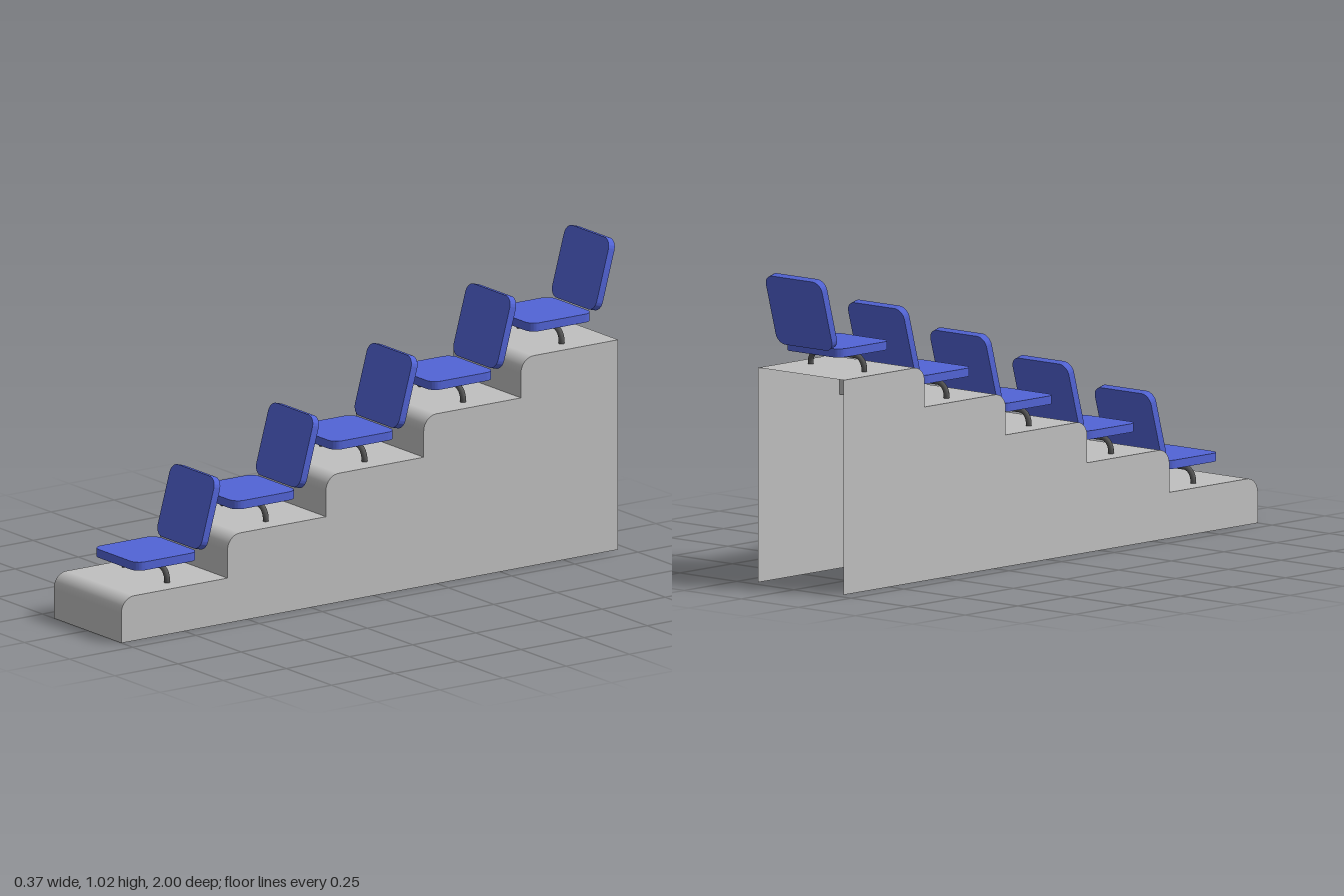
import * as THREE from 'three';
import { toCreasedNormals } from 'three/addons/utils/BufferGeometryUtils.js';

const W = 0.187;                                    // half width of the stand
const FRONTS = [1, 0.58, 0.19, -0.197, -0.582, -0.967]; // riser positions, then the back
const TOPS = [0.15, 0.293, 0.43, 0.567, 0.7];       // tread heights
const R = 0.05;                                     // rounded nosing

function material(name, color, side = THREE.FrontSide) {
  const m = new THREE.MeshStandardMaterial({ color, side });
  m.name = name;
  return m;
}

function mesh(name, geometry, mat) {
  const m = new THREE.Mesh(geometry, mat);
  m.name = name;
  return m;
}

// Side profile of the stand as rows of [z, y, normalZ, normalY]
function stepProfile() {
  const rows = [];
  TOPS.forEach((top, i) => {
    const z = FRONTS[i];
    rows.push([z, i ? TOPS[i - 1] : 0, 1, 0]);
    for (let k = 0; k <= 10; k++) {
      const a = (k / 10) * Math.PI / 2;
      const c = Math.cos(a), s = Math.sin(a);
      rows.push([z - R + R * c, top - R + R * s, c, s]);
    }
    rows.push([FRONTS[i + 1], top, 0, 1]);
  });
  return rows;
}

// Risers and treads: the profile stretched across the width
function treadGeometry(rows) {
  const pos = [], nor = [], idx = [];
  rows.forEach(([z, y, nz, ny], i) => {
    pos.push(-W, y, z, W, y, z);
    nor.push(0, ny, nz, 0, ny, nz);
    if (i < rows.length - 1) {
      const a = i * 2;
      idx.push(a, a + 1, a + 3, a, a + 3, a + 2);
    }
  });
  const g = new THREE.BufferGeometry();
  g.setAttribute('position', new THREE.Float32BufferAttribute(pos, 3));
  g.setAttribute('normal', new THREE.Float32BufferAttribute(nor, 3));
  g.setIndex(idx);
  return g;
}

// Upright slab with rounded corners, centred on the origin
function slabGeometry(w, h, depth, r) {
  const x = w / 2, y = h / 2, s = new THREE.Shape();
  s.moveTo(-x + r, -y);
  s.lineTo(x - r, -y);
  s.absarc(x - r, -y + r, r, -Math.PI / 2, 0);
  s.absarc(x - r, y - r, r, 0, Math.PI / 2);
  s.absarc(-x + r, y - r, r, Math.PI / 2, Math.PI);
  s.absarc(-x + r, -y + r, r, Math.PI, Math.PI * 1.5);
  const g = new THREE.ExtrudeGeometry(s, { depth, bevelEnabled: false, curveSegments: 8 });
  g.translate(0, 0, -depth / 2);
  return toCreasedNormals(g, 0.6);
}

// Bent tube that carries the seat
function legGeometry() {
  const x = 0.117, y = 0.199, r = 0.035, low = 0.138;
  const v = (a, b) => new THREE.Vector3(a, b, 0);
  const path = new THREE.CurvePath();
  path.add(new THREE.LineCurve3(v(-x, low), v(-x, y - r)));
  path.add(new THREE.QuadraticBezierCurve3(v(-x, y - r), v(-x + 0.006, y - 0.006), v(-x + r, y)));
  path.add(new THREE.LineCurve3(v(-x + r, y), v(x - r, y)));
  path.add(new THREE.QuadraticBezierCurve3(v(x - r, y), v(x - 0.006, y - 0.006), v(x, y - r)));
  path.add(new THREE.LineCurve3(v(x, y - r), v(x, low)));
  return new THREE.TubeGeometry(path, 48, 0.0095, 10);
}

export function createModel() {
  const concrete = material('grey stand', 0xc0c0c0, THREE.DoubleSide);
  const blue = material('blue seat', 0x5264d6);
  const metal = material('dark metal', 0x555555);
  const model = new THREE.Group();
  model.name = 'tieredSeating';

  // Hollow stand, open at the back and underneath
  const stand = new THREE.Group();
  stand.name = 'stand';
  const rows = stepProfile();
  stand.add(mesh('steps', treadGeometry(rows), concrete));
  const outline = rows.map(([z, y]) => new THREE.Vector2(z, y));
  outline.push(new THREE.Vector2(FRONTS[5], 0));
  const wall = new THREE.ShapeGeometry(new THREE.Shape(outline));
  for (const s of [-1, 1]) {
    const side = mesh(s > 0 ? 'leftWall' : 'rightWall', wall, concrete);
    side.rotation.y = -Math.PI / 2;
    side.position.x = s * W;
    stand.add(side);
  }
  model.add(stand);

  // One seat per step
  const cushionGeo = slabGeometry(0.246, 0.248, 0.028, 0.035);
  const backGeo = slabGeometry(0.246, 0.24, 0.025, 0.035);
  const legGeo = legGeometry();
  const capGeo = new THREE.CircleGeometry(0.0095, 10);
  TOPS.forEach((top, i) => {
    const seat = new THREE.Group();
    seat.name = 'seat' + (i + 1);
    const cushion = mesh('cushion', cushionGeo, blue);
    cushion.rotation.x = -Math.PI / 2;
    cushion.position.set(0.004, 0.222, 0.003);
    const back = mesh('backrest', backGeo, blue);
    back.rotation.x = -0.27;
    back.position.set(0.004, 0.351, -0.167);
    seat.add(cushion, back, mesh('leg', legGeo, metal));
    for (const x of [-0.117, 0.117]) {
      const cap = mesh('legEnd', capGeo, metal);
      cap.rotation.x = Math.PI / 2;
      cap.position.set(x, 0.138, 0);
      seat.add(cap);
    }
    seat.position.set(0, top - TOPS[0], 0.769 - 0.3905 * i);
    model.add(seat);
  });
  return model;
}
